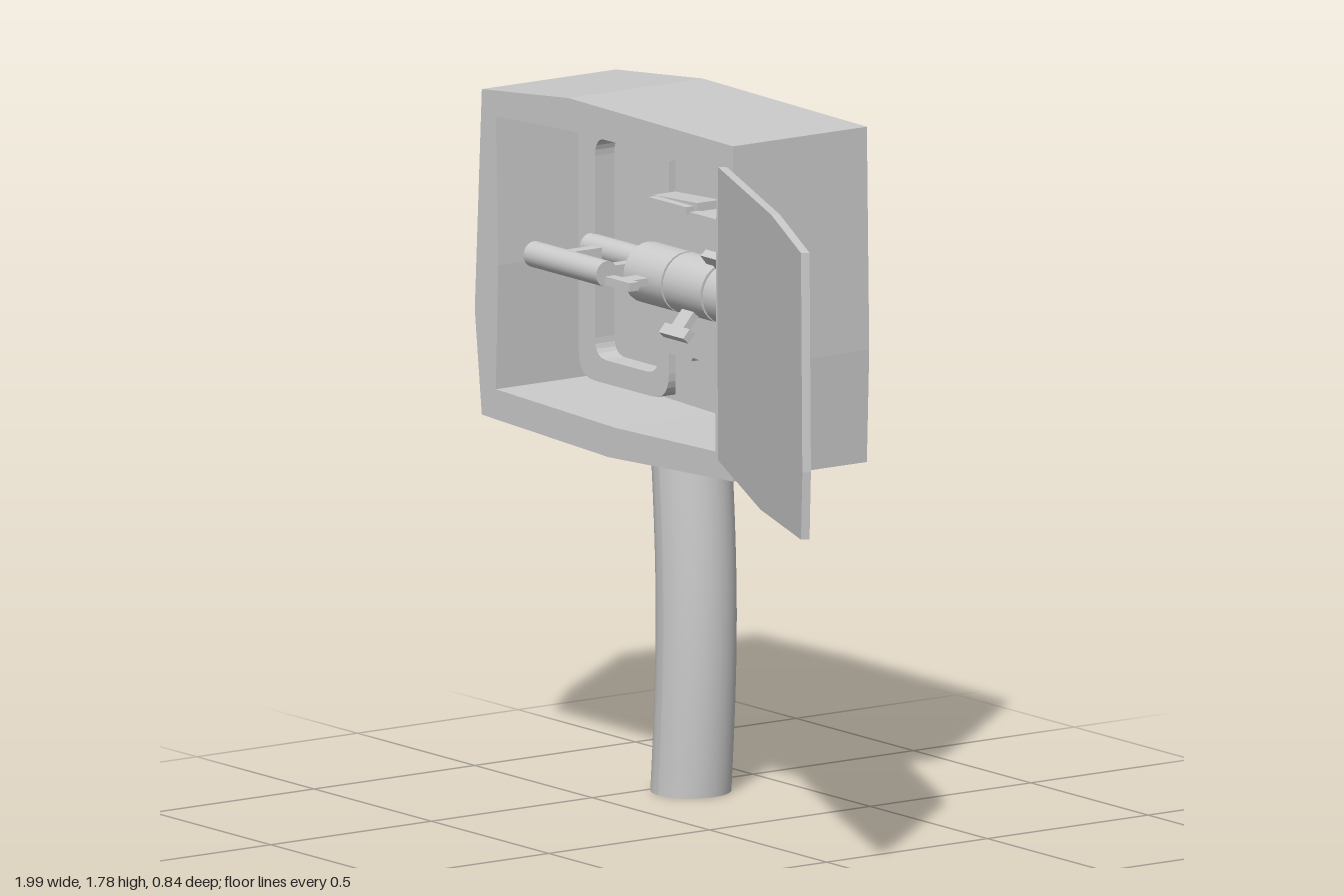
import * as THREE from 'three';

const mat = new THREE.MeshStandardMaterial({ color: 0xcccccc });

function add(parent, name, geometry, x = 0, y = 0, z = 0) {
  const m = new THREE.Mesh(geometry, mat);
  m.name = name;
  m.position.set(x, y, z);
  parent.add(m);
  return m;
}
const toPts = (list) => list.map(([x, y]) => new THREE.Vector2(x, y));
const extrude = (shape, depth) =>
  new THREE.ExtrudeGeometry(shape, { depth, bevelEnabled: false, curveSegments: 6 });
const box = (w, h, d) => new THREE.BoxGeometry(w, h, d);
const rod = (r, len, seg = 20) => new THREE.CylinderGeometry(r, r, len, seg).rotateZ(Math.PI / 2);

// Rounded rectangle between two corners
function roundRect(path, x0, y0, x1, y1, r) {
  path.moveTo(x0 + r, y0);
  path.lineTo(x1 - r, y0);
  path.quadraticCurveTo(x1, y0, x1, y0 + r);
  path.lineTo(x1, y1 - r);
  path.quadraticCurveTo(x1, y1, x1 - r, y1);
  path.lineTo(x0 + r, y1);
  path.quadraticCurveTo(x0, y1, x0, y1 - r);
  path.lineTo(x0, y0 + r);
  path.quadraticCurveTo(x0, y0, x0 + r, y0);
  return path;
}

export function createModel() {
  const model = new THREE.Group();
  model.name = 'electricalBox';

  // Cabinet: open front shell and solid back, both slightly crooked
  const outline = toPts([[-0.97, 0.905], [-0.43, 0.885], [0.1, 0.91], [0.11, 1.2],
    [0.1, 1.77], [-0.6, 1.778], [-0.97, 1.74], [-1, 1.17]]);
  const opening = toPts([[-0.91, 0.98], [-0.4, 0.965], [0.025, 0.975], [0.03, 1.7],
    [-0.6, 1.695], [-0.91, 1.68], [-0.9, 1.3]]);
  const shell = new THREE.Shape(outline);
  shell.holes.push(new THREE.Path(opening));
  add(model, 'cabinetShell', extrude(shell, 0.31), 0, 0, -0.31);
  add(model, 'cabinetBack', extrude(new THREE.Shape(outline), 0.107), 0, 0, -0.417);

  // Open door, swung about its hinge edge
  const swing = Math.atan2(0.41, 0.92);
  const door = new THREE.Shape(toPts([[0.07, 0.96], [0.53, 0.935], [0.975, 0.955], [0.99, 1.13],
    [0.975, 1.69], [0.65, 1.717], [0.07, 1.712], [0.06, 1.3]]
    .map(([x, y]) => [(x - 0.07) / Math.cos(swing), y])));
  add(model, 'door', extrude(door, 0.022), 0.07, 0, -0.003).rotation.y = -swing;

  // Post with a gentle bend
  const post = new THREE.CylinderGeometry(0.102, 0.102, 0.92, 28, 12).translate(0, 0.46, 0);
  const p = post.attributes.position;
  for (let i = 0; i < p.count; i++) {
    p.setX(i, p.getX(i) + 0.023 * Math.sin((Math.PI * p.getY(i)) / 0.9));
  }
  post.computeVertexNormals();
  add(model, 'post', post, -0.427, 0, -0.254);

  // Rounded frame around the lever recess
  const frame = roundRect(new THREE.Shape(), -0.9, 0.985, -0.515, 1.67, 0.07);
  frame.holes.push(roundRect(new THREE.Path(), -0.83, 1.045, -0.56, 1.612, 0.05));
  add(model, 'leverFrame', extrude(frame, 0.06), 0, 0, -0.31);

  // Lever: grip bar, pivot bar and two arms
  const lever = new THREE.Group();
  lever.name = 'lever';
  lever.position.set(-0.695, 1.328, 0);
  add(lever, 'grip', rod(0.033, 0.31), 0, 0, -0.075);
  add(lever, 'pivotBar', rod(0.033, 0.31), 0, 0, -0.25);
  for (const x of [-0.08, 0.12]) add(lever, 'leverArm', box(0.035, 0.028, 0.175), x, 0, -0.1625);
  model.add(lever);

  // Breaker panel: backing plate and a raised block with a stepped top
  const panel = new THREE.Shape(toPts([[-0.515, 0.99], [0, 0.985], [0, 1.665],
    [-0.17, 1.652], [-0.35, 1.662], [-0.515, 1.65]]));
  add(model, 'breakerPanel', extrude(panel, 0.04), 0, 0, -0.31);
  const block = new THREE.Shape(toPts([[-0.515, 1.13], [-0.35, 1.12], [-0.345, 1.13], [-0.18, 1.12],
    [-0.175, 1.13], [0, 1.12], [0, 1.53], [-0.165, 1.522], [-0.165, 1.508], [-0.325, 1.508],
    [-0.325, 1.53], [-0.515, 1.52]]));
  add(model, 'breakerBlock', extrude(block, 0.075), 0, 0, -0.275);
  [[-0.42, 1.51], [-0.245, 1.5], [-0.082, 1.515]].forEach(([x, y]) =>
    add(model, 'breakerLedge', box(0.16, 0.02, 0.03), x, y, -0.19));

  // Switch drums, each with a T-shaped toggle turned to its own angle
  const toggles = [[-0.42, 0], [-0.252, 0.85], [-0.082, -0.9]];
  toggles.forEach(([x, angle]) => {
    const drum = new THREE.Group();
    drum.name = 'switchDrum';
    drum.position.set(x, 1.328, -0.175);
    drum.rotation.x = angle;
    add(drum, 'drum', rod(0.078, 0.16, 24));
    add(drum, 'toggleStem', box(0.05, 0.02, 0.07), 0, 0, 0.1);
    add(drum, 'toggleHead', box(0.105, 0.022, 0.03), 0, 0, 0.14);
    model.add(drum);
  });
  add(model, 'drumAxle', rod(0.07, 0.5, 24), -0.25, 1.328, -0.175);

  return model;
}
